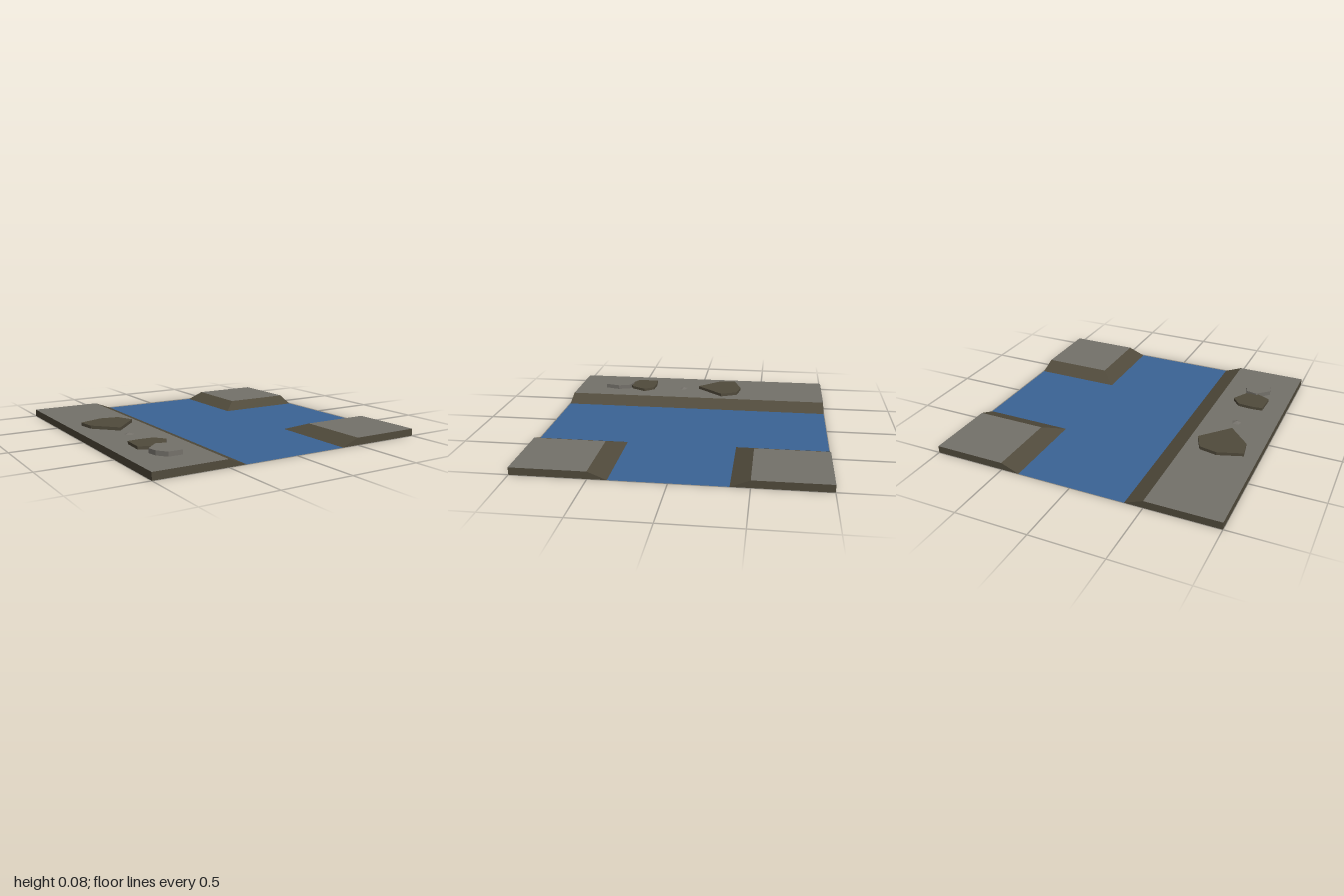
import * as THREE from 'three';

const H = 0.05;   // bank height
const IN = 0.375; // water edge
const TOP = 0.5;  // upper edge of the slopes

function material(name, color) {
  const m = new THREE.MeshStandardMaterial({ color, side: THREE.DoubleSide, flatShading: true });
  m.name = name;
  return m;
}

// Quads given as four corners, counter-clockwise from outside
function quads(name, list, mat) {
  const pos = [];
  for (const [a, b, c, d] of list) pos.push(...a, ...b, ...c, ...a, ...c, ...d);
  const g = new THREE.BufferGeometry();
  g.setAttribute('position', new THREE.Float32BufferAttribute(pos, 3));
  g.computeVertexNormals();
  const mesh = new THREE.Mesh(g, mat);
  mesh.name = name;
  return mesh;
}

// Ring of corners from a [x0, x1, z0, z1] rectangle, counter-clockwise from above
const ring = ([x0, x1, z0, z1], y) => [[x0, y, z1], [x1, y, z1], [x1, y, z0], [x0, y, z0]];

// Open-bottomed bank: stone top with earth walls and slopes
function bank(name, base, top, stone, earth) {
  const group = new THREE.Group();
  group.name = name;
  const b = ring(base, 0), t = ring(top, H);
  const sides = b.map((p, i) => [p, b[(i + 1) % 4], t[(i + 1) % 4], t[i]]);
  group.add(quads('bankTop', [t], stone), quads('bankSides', sides, earth));
  return group;
}

// Flat rock slab from an outline of [x, z] points
function slab(name, outline, height, mat) {
  const shape = new THREE.Shape(outline.map(([x, z]) => new THREE.Vector2(x, -z)));
  const g = new THREE.ExtrudeGeometry(shape, { depth: height, bevelEnabled: false });
  g.rotateX(-Math.PI / 2);
  const mesh = new THREE.Mesh(g, mat);
  mesh.position.y = H;
  mesh.name = name;
  return mesh;
}

export function createModel() {
  const model = new THREE.Group();
  model.name = 'riverJunction';
  const stone = material('stoneGrey', 0x74716a);
  const earth = material('earthBrown', 0x504a3b);
  const water = material('waterBlue', 0x3a6395);

  // T-shaped water surface
  model.add(quads('water', [
    ring([-IN, IN, -1, 1], 0),
    ring([IN, 1, -IN, IN], 0),
  ], water));

  // Long bank and the two corner banks
  model.add(bank('longBank', [-1, -IN, -1, 1], [-1, -TOP, -1, 1], stone, earth));
  model.add(bank('frontCornerBank', [IN, 1, IN, 1], [TOP, 1, TOP, 1], stone, earth));
  model.add(bank('backCornerBank', [IN, 1, -1, -IN], [TOP, 1, -1, -TOP], stone, earth));

  // Rock slabs on the long bank
  model.add(slab('largeSlab', [
    [-0.905, -0.28], [-0.885, -0.155], [-0.735, 0.005],
    [-0.555, -0.195], [-0.61, -0.315], [-0.735, -0.34],
  ], 0.022, earth));
  model.add(slab('mediumSlab', [
    [-0.85, 0.37], [-0.857, 0.525], [-0.745, 0.58], [-0.675, 0.55],
    [-0.613, 0.44], [-0.67, 0.37], [-0.77, 0.362],
  ], 0.02, earth));
  model.add(slab('stoneSlab', [
    [-0.837, 0.635], [-0.825, 0.705], [-0.775, 0.77], [-0.675, 0.77],
    [-0.645, 0.66], [-0.675, 0.57], [-0.75, 0.552],
  ], 0.031, stone));

  // Small pebble
  const pebble = new THREE.Mesh(new THREE.ConeGeometry(0.035, 0.012, 5), stone);
  pebble.position.set(-0.73, H + 0.006, 0.13);
  pebble.name = 'pebble';
  model.add(pebble);

  return model;
}
